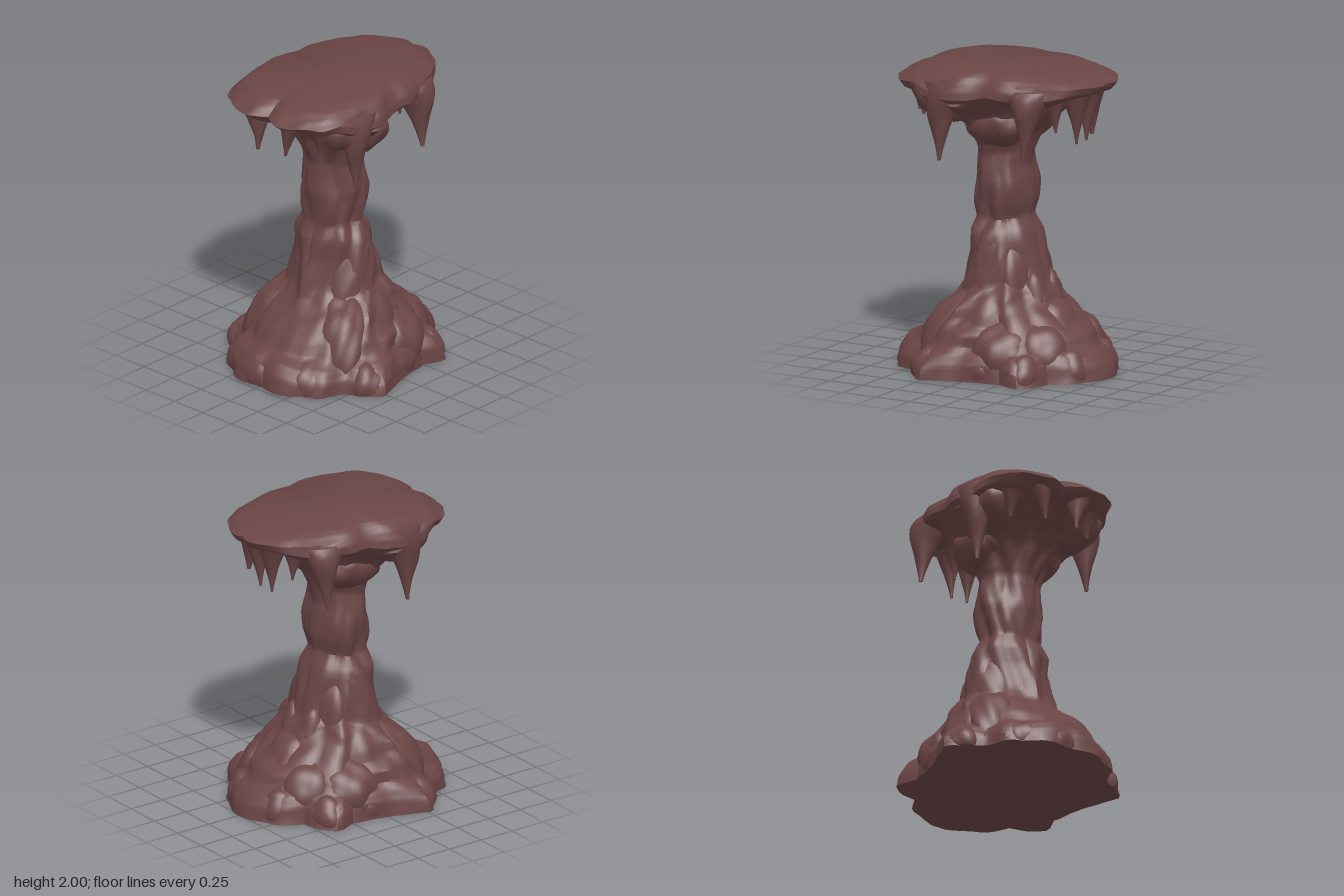
import * as THREE from 'three';
import { mergeVertices, toCreasedNormals } from 'three/addons/utils/BufferGeometryUtils.js';

const stone = new THREE.MeshStandardMaterial({ color: 0x6b4545 });
stone.name = 'brown stone';

// Craggy pseudo-noise of triangle waves, mirrored front to back
const tri = t => Math.asin(Math.sin(t) * 0.98) * 0.64;
function noise(x, y, z) {
  z = Math.abs(z);
  const a = tri(7 * x + 5 * y + 2 * Math.sin(6 * z + 3 * y));
  const b = tri(11 * z - 6 * y + 2 * Math.sin(8 * x + 1));
  const c = tri(19 * x - 13 * y + 15 * z + 2);
  return (a + b + 0.7 * c) / 2.2;
}

function addMesh(group, name, geometry) {
  geometry.deleteAttribute('normal');
  geometry.deleteAttribute('uv');
  const mesh = new THREE.Mesh(toCreasedNormals(mergeVertices(geometry, 1e-4), 0.7), stone);
  mesh.name = name;
  group.add(mesh);
}

// Half plan outlines from +x round to -x, as angle and radius in unit space
const polar = (points, l, r, d) => points.map(([x, z]) => {
  const u = x / (x > 0 ? r : l), w = z / d;
  return [Math.atan2(w, u), Math.hypot(u, w)];
});
const footPlan = polar([[0.75, 0], [0.73, 0.15], [0.64, 0.3], [0.52, 0.38], [0.48, 0.5],
  [0.39, 0.6], [0.25, 0.53], [0.1, 0.59], [-0.03, 0.61], [-0.2, 0.66], [-0.27, 0.68],
  [-0.37, 0.56], [-0.42, 0.47], [-0.58, 0.41], [-0.66, 0.3], [-0.73, 0.13], [-0.72, 0]], 0.75, 0.75, 0.68);
const capPlan = polar([[0.74, 0], [0.72, 0.18], [0.65, 0.32], [0.55, 0.37], [0.42, 0.45],
  [0.25, 0.5], [0.1, 0.48], [0, 0.5], [-0.2, 0.53], [-0.38, 0.5], [-0.49, 0.48],
  [-0.61, 0.4], [-0.67, 0.32], [-0.71, 0.12], [-0.64, 0]], 0.71, 0.74, 0.53);
function planRadius(plan, a) {
  const k = Math.max(1, plan.findIndex(p => p[0] >= a - 1e-6));
  const [a0, r0] = plan[k - 1], [a1, r1] = plan[k];
  return r0 + (r1 - r0) * (a - a0) / (a1 - a0);
}

// Closed loft; each row is y, reach to -x, reach to +x, reach in z, share of plan outline
function loft(rows, steps, segs) {
  const pos = [], idx = [];
  const last = rows.length - 1, n = last * steps;
  for (let i = 0; i <= n; i++) {
    const k = Math.min(Math.floor(i / steps), last - 1), t = i / steps - k;
    const [y, l, r, d, share] = rows[k].map((v, m) => v + (rows[k + 1][m] - v) * t);
    const rough = y > 1.8 || y < 0.2 ? 0.035 : y < 0.5 ? 0.07 : 0.12;
    for (let j = 0; j < segs; j++) {
      const a = j / segs * Math.PI * 2, c = Math.cos(a), s = Math.sin(a);
      const half = Math.min(a, Math.PI * 2 - a);
      const q = 1 + share * (planRadius(y > 1.2 ? capPlan : footPlan, half) - 1);
      const x = c * q * (c > 0 ? r : l), z = s * q * d;
      const f = 0.99 + rough * noise(x + c * 0.25, y * 1.1, z + s * 0.25);
      const lift = y > 0.05 && y < 1.93 ? 0.03 * noise(x + 3, y, z) : 0;
      pos.push(x * f, y + lift, z * f);
    }
  }
  for (let i = 0; i < n; i++) for (let j = 0; j < segs; j++) {
    const a = i * segs + j, b = i * segs + (j + 1) % segs;
    idx.push(a, a + segs, b, b, a + segs, b + segs);
  }
  const bottom = pos.length / 3, top = bottom + 1;
  pos.push(0, rows[0][0], 0, 0, rows[last][0], 0);
  for (let j = 0; j < segs; j++) {
    const k = (j + 1) % segs;
    idx.push(bottom, j, k, top, n * segs + k, n * segs + j);
  }
  const g = new THREE.BufferGeometry();
  g.setAttribute('position', new THREE.Float32BufferAttribute(pos, 3));
  g.setIndex(idx);
  return g;
}

// Craggy lump, optionally leaning with height, cut flat at the ground
function rock([x, y, z], [rx, ry, rz], leanX = 0, leanZ = 0) {
  const g = new THREE.IcosahedronGeometry(1, 8);
  const p = g.attributes.position, v = new THREE.Vector3();
  for (let i = 0; i < p.count; i++) {
    v.fromBufferAttribute(p, i);
    v.multiplyScalar(1 + 0.13 * noise(x + v.x * rx * 2, y + v.y * ry * 1.5, z + v.z * rz * 2));
    p.setXYZ(i, x + v.x * rx + leanX * v.y, Math.max(0, y + v.y * ry), z + v.z * rz + leanZ * v.y);
  }
  return g;
}

// Hanging spike flowing from a broad root to a thin tip
function spike(root, tip, r) {
  const g = new THREE.CylinderGeometry(1, 1, 1, 16, 14);
  const p = g.attributes.position;
  for (let i = 0; i < p.count; i++) {
    const t = 0.5 - p.getY(i), px = p.getX(i), pz = p.getZ(i);
    const q = root.map((c, k) => c + (tip[k] - c) * (k === 1 ? t : Math.sqrt(t)));
    const w = r * ((1 - t) ** 1.3 + 0.08) * (1 + 0.2 * noise(q[0] + px * 0.15, q[1] * 1.5, q[2] + pz * 0.15));
    p.setXYZ(i, q[0] + px * w, q[1], q[2] + pz * w);
  }
  return g;
}

export function createModel() {
  const model = new THREE.Group();
  model.name = 'stonePillar';

  // Terraced foot, waisted column and flared flat-topped cap
  addMesh(model, 'column', loft([
    [0, 0.75, 0.75, 0.68, 1], [0.1, 0.73, 0.73, 0.67, 1], [0.16, 0.69, 0.69, 0.63, 1],
    [0.2, 0.59, 0.62, 0.58, 1], [0.28, 0.54, 0.57, 0.55, 0.9], [0.34, 0.49, 0.48, 0.48, 0.8],
    [0.42, 0.42, 0.4, 0.44, 0.6], [0.5, 0.35, 0.32, 0.38, 0.4], [0.58, 0.31, 0.27, 0.31, 0.2],
    [0.75, 0.24, 0.23, 0.28, 0], [0.9, 0.23, 0.2, 0.26, 0], [1.0, 0.2, 0.15, 0.2, 0],
    [1.1, 0.21, 0.17, 0.22, 0], [1.22, 0.22, 0.16, 0.23, 0], [1.32, 0.21, 0.14, 0.22, 0],
    [1.42, 0.21, 0.16, 0.2, 0], [1.5, 0.24, 0.19, 0.23, 0], [1.6, 0.28, 0.24, 0.3, 0],
    [1.7, 0.38, 0.31, 0.37, 0.3], [1.78, 0.5, 0.41, 0.46, 0.6], [1.84, 0.64, 0.57, 0.53, 1],
    [1.89, 0.71, 0.71, 0.52, 1], [1.94, 0.64, 0.74, 0.49, 1], [1.975, 0.57, 0.66, 0.46, 1],
    [2, 0.47, 0.54, 0.42, 0.9]
  ], 4, 112));

  // Front and back parts: name, centre, half sizes, lean in x and z
  const pairs = [
    ['footRock', [-0.26, 0.05, 0.5], [0.14, 0.14, 0.15]],
    ['footRock', [0.04, 0.05, 0.43], [0.19, 0.13, 0.15]],
    ['footRock', [0.38, 0.05, 0.43], [0.11, 0.14, 0.14]],
    ['footRock', [-0.5, 0.05, 0.26], [0.16, 0.15, 0.13]],
    ['footRock', [0.54, 0.05, 0.19], [0.14, 0.15, 0.12]],
    ['upperRock', [0.15, 0.2, 0.36], [0.24, 0.17, 0.18], -0.03, -0.05],
    ['upperRock', [-0.25, 0.27, 0.31], [0.18, 0.28, 0.17], 0.09, -0.08],
    ['upperRock', [0.37, 0.22, 0.25], [0.17, 0.17, 0.15], -0.06, -0.05],
    ['buttress', [-0.06, 0.66, 0.17], [0.13, 0.32, 0.12], 0.12, -0.03],
    ['buttress', [0.13, 0.62, 0.14], [0.09, 0.32, 0.12], -0.04, -0.04],
    ['spur', [0.25, 0.42, 0.1], [0.09, 0.24, 0.09], -0.04, 0],
    ['capLedge', [0.02, 1.62, 0.22], [0.22, 0.13, 0.13], 0, 0.04],
    ['capLump', [-0.29, 1.78, 0.31], [0.18, 0.14, 0.16], -0.03, 0.03]
  ];
  // Spikes: root, tip, radius
  const spikes = [
    [[-0.24, 1.92, 0.37], [-0.27, 1.4, 0.43], 0.15],
    [[0.38, 1.92, 0.31], [0.36, 1.48, 0.43], 0.14],
    [[0.55, 1.92, 0.1], [0.54, 1.53, 0.06], 0.11],
    [[0.4, 1.86, 0.15], [0.42, 1.6, 0.12], 0.09],
    [[-0.55, 1.91, 0.15], [-0.6, 1.64, 0.12], 0.1],
    [[-0.46, 1.9, 0.27], [-0.46, 1.66, 0.3], 0.12]
  ];
  for (const s of [1, -1]) {
    const flip = ([x, y, z]) => [x, y, z * s];
    for (const [name, c, size, lx = 0, lz = 0] of pairs)
      addMesh(model, name, rock(flip(c), size, lx, lz * s));
    for (const [root, tip, r] of spikes)
      addMesh(model, 'hangingSpike', spike(flip(root), flip(tip), r));
  }

  // End rocks on the centre line
  addMesh(model, 'leftFootRock', rock([0.58, 0.05, 0], [0.14, 0.14, 0.15]));
  addMesh(model, 'rightFootRock', rock([-0.57, 0.05, -0.06], [0.15, 0.14, 0.16]));
  addMesh(model, 'leftUpperRock', rock([0.35, 0.28, 0], [0.18, 0.2, 0.22], -0.08));
  return model;
}
